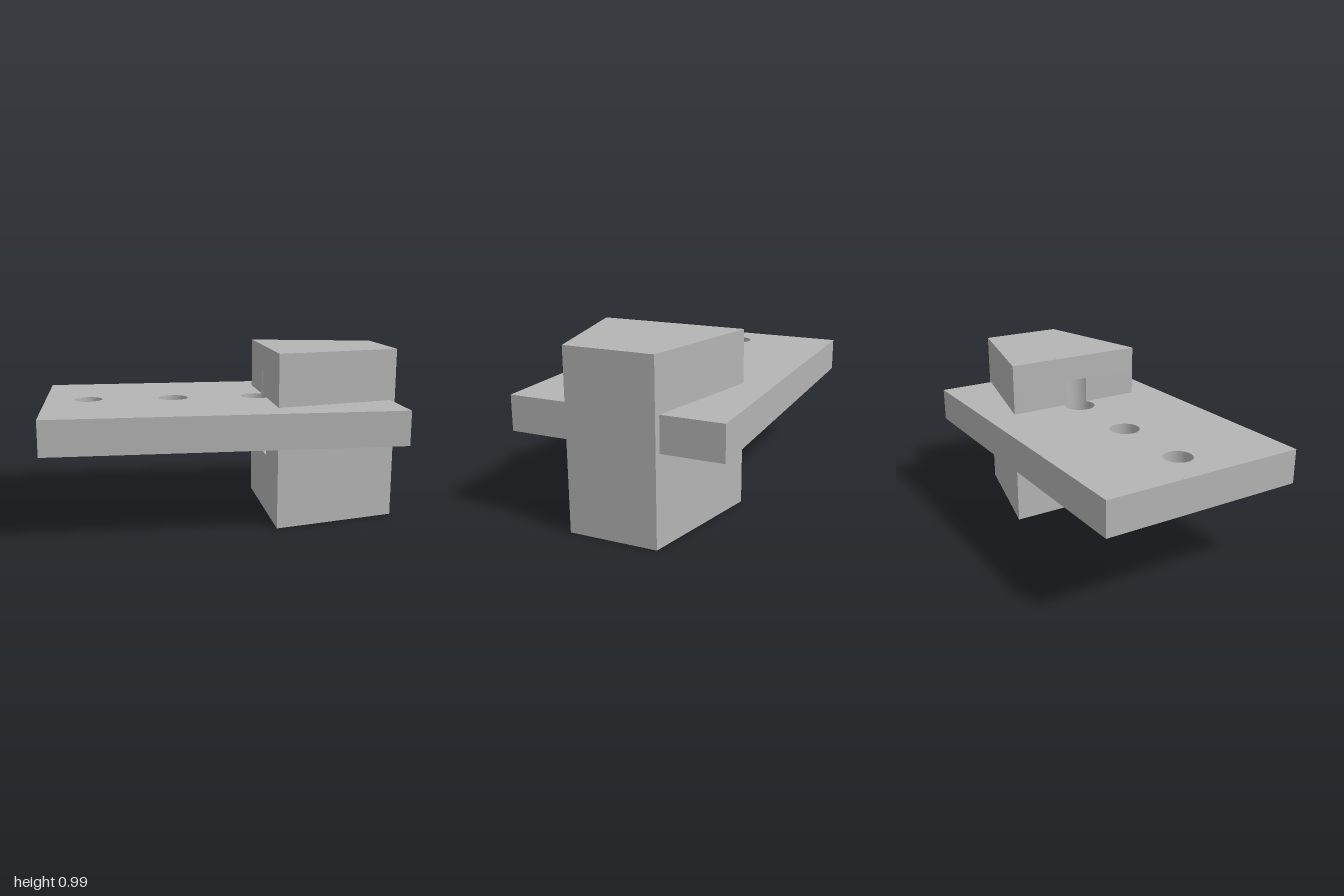
import * as THREE from 'three';
import { toCreasedNormals } from 'three/addons/utils/BufferGeometryUtils.js';

const HOLES = [[-0.756, 0.08], [-0.264, 0.085], [0.23, 0.09]]; // x, radius

// Extrude a plan (x, z) upwards from y0 to y1
function slab(name, shape, y0, y1, material) {
  const geo = new THREE.ExtrudeGeometry(shape, { depth: y1 - y0, bevelEnabled: false, curveSegments: 32 });
  geo.rotateX(-Math.PI / 2);
  geo.translate(0, y0, 0);
  const mesh = new THREE.Mesh(toCreasedNormals(geo, 0.6), material);
  mesh.name = name;
  return mesh;
}

// Tapered block plan, optionally notched by the last hole
function blockPlan(notched) {
  const s = new THREE.Shape();
  s.moveTo(0.28, -0.417);
  s.lineTo(1, -0.247);
  s.lineTo(1, 0.247);
  s.lineTo(0.28, 0.417);
  if (notched) {
    const [cx, r] = HOLES[2];
    const a = Math.acos((0.28 - cx) / r);
    s.absarc(cx, 0, r, a, -a, true);
  }
  s.closePath();
  return s;
}

export function createModel() {
  const model = new THREE.Group();
  model.name = 'plateWithBlock';
  const grey = new THREE.MeshStandardMaterial({ color: 0xb4b4b4 });
  grey.name = 'grey';

  // Flat plate with three round holes
  const plate = new THREE.Shape();
  plate.moveTo(-1, -0.59);
  plate.lineTo(0.97, -0.59);
  plate.lineTo(0.97, 0.59);
  plate.lineTo(-1, 0.59);
  plate.closePath();
  for (const [x, r] of HOLES) {
    const hole = new THREE.Path();
    hole.absarc(x, 0, r, 0, Math.PI * 2, true);
    plate.holes.push(hole);
  }
  model.add(slab('plate', plate, 0.495, 0.69, grey));

  // Tapered block, its middle cut by the last hole
  const block = new THREE.Group();
  block.name = 'taperedBlock';
  block.add(
    slab('blockBottom', blockPlan(false), 0, 0.345, grey),
    slab('blockMiddle', blockPlan(true), 0.345, 0.84, grey),
    slab('blockTop', blockPlan(false), 0.84, 0.985, grey),
  );
  model.add(block);
  return model;
}
